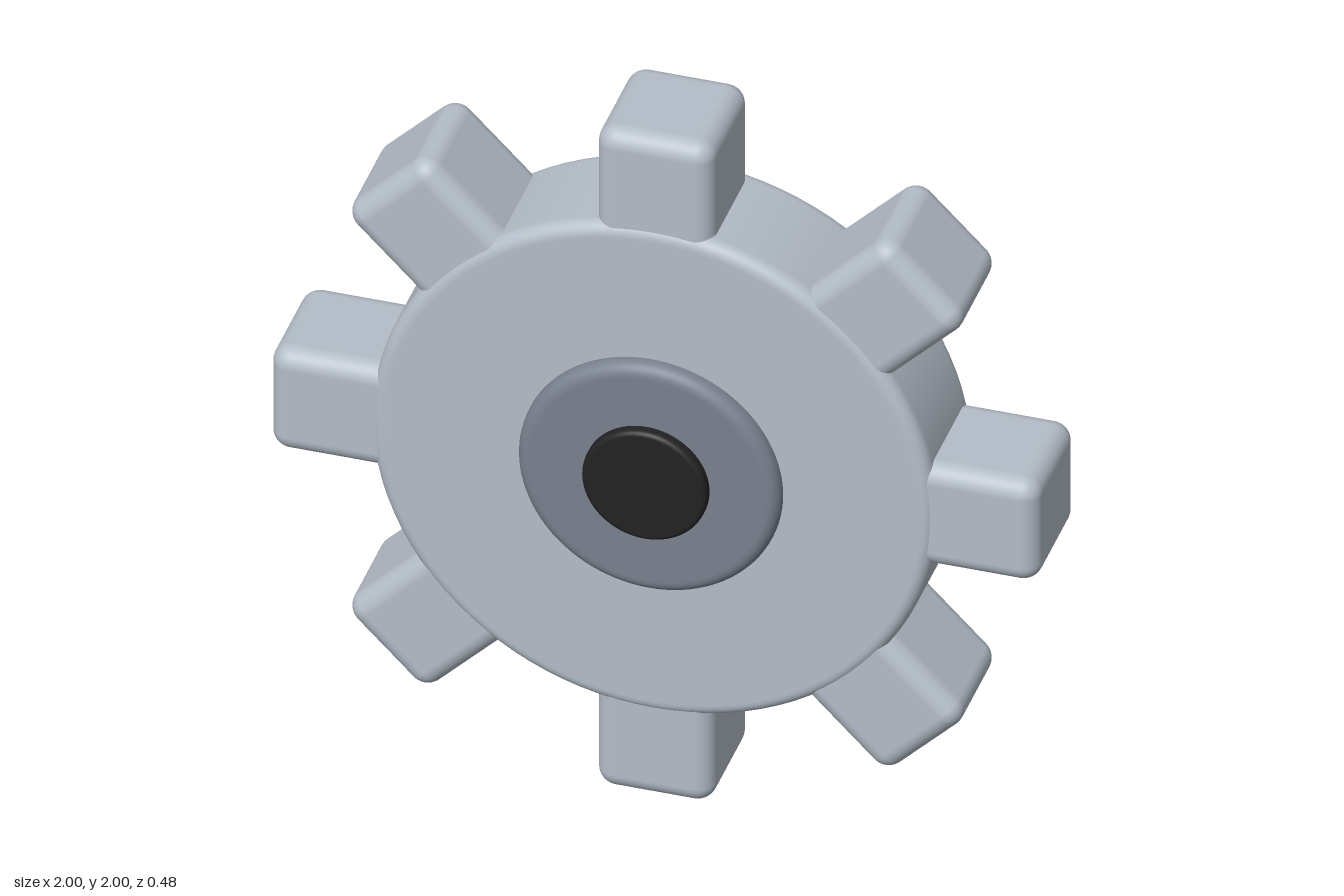
import * as THREE from 'three';
import { RoundedBoxGeometry } from 'three/addons/geometries/RoundedBoxGeometry.js';

const material = (name, color) => new THREE.MeshStandardMaterial({ name, color });

// Solid disc with rounded rims, its axis along z
function roundedDisc(name, radius, halfDepth, bevel, mat) {
  const points = [new THREE.Vector2(0, -halfDepth), new THREE.Vector2(radius - bevel - 0.004, -halfDepth)];
  const steps = 8;
  for (const side of [-1, 1]) {
    for (let i = 0; i <= steps; i++) {
      const a = (side < 0 ? i / steps - 1 : i / steps) * Math.PI / 2;
      points.push(new THREE.Vector2(
        radius - bevel + bevel * Math.cos(a),
        side * (halfDepth - bevel) + bevel * Math.sin(a)
      ));
    }
    // Extra rings keep the wall and the caps evenly shaded
    if (side < 0) {
      const y = halfDepth - bevel - 0.004;
      points.push(new THREE.Vector2(radius, -y), new THREE.Vector2(radius, y));
    }
  }
  points.push(new THREE.Vector2(radius - bevel - 0.004, halfDepth), new THREE.Vector2(0, halfDepth));
  const geometry = new THREE.LatheGeometry(points, 96).rotateX(Math.PI / 2);
  const mesh = new THREE.Mesh(geometry, mat);
  mesh.name = name;
  return mesh;
}

export function createModel() {
  const model = new THREE.Group();
  model.name = 'cogWheel';
  const steel = material('light steel', 0xb4bdc8);
  const hubGrey = material('hub grey', 0x79818f);
  const black = material('axle black', 0x222222);

  // Wheel body, hub and axle pass through one another
  const wheel = new THREE.Group();
  wheel.name = 'wheel';
  wheel.position.y = 1;
  wheel.add(
    roundedDisc('gearBody', 0.735, 0.17, 0.035, steel),
    roundedDisc('hub', 0.342, 0.21, 0.035, hubGrey),
    roundedDisc('axle', 0.163, 0.24, 0.015, black)
  );

  // Eight rounded teeth around the rim
  const inner = 0.6, outer = 1;
  const toothGeometry = new RoundedBoxGeometry(0.305, outer - inner, 0.325, 5, 0.05);
  toothGeometry.translate(0, (inner + outer) / 2, 0);
  for (let i = 0; i < 8; i++) {
    const tooth = new THREE.Mesh(toothGeometry, steel);
    tooth.name = `tooth${i + 1}`;
    tooth.rotation.z = i * Math.PI / 4;
    wheel.add(tooth);
  }

  model.add(wheel);
  return model;
}
